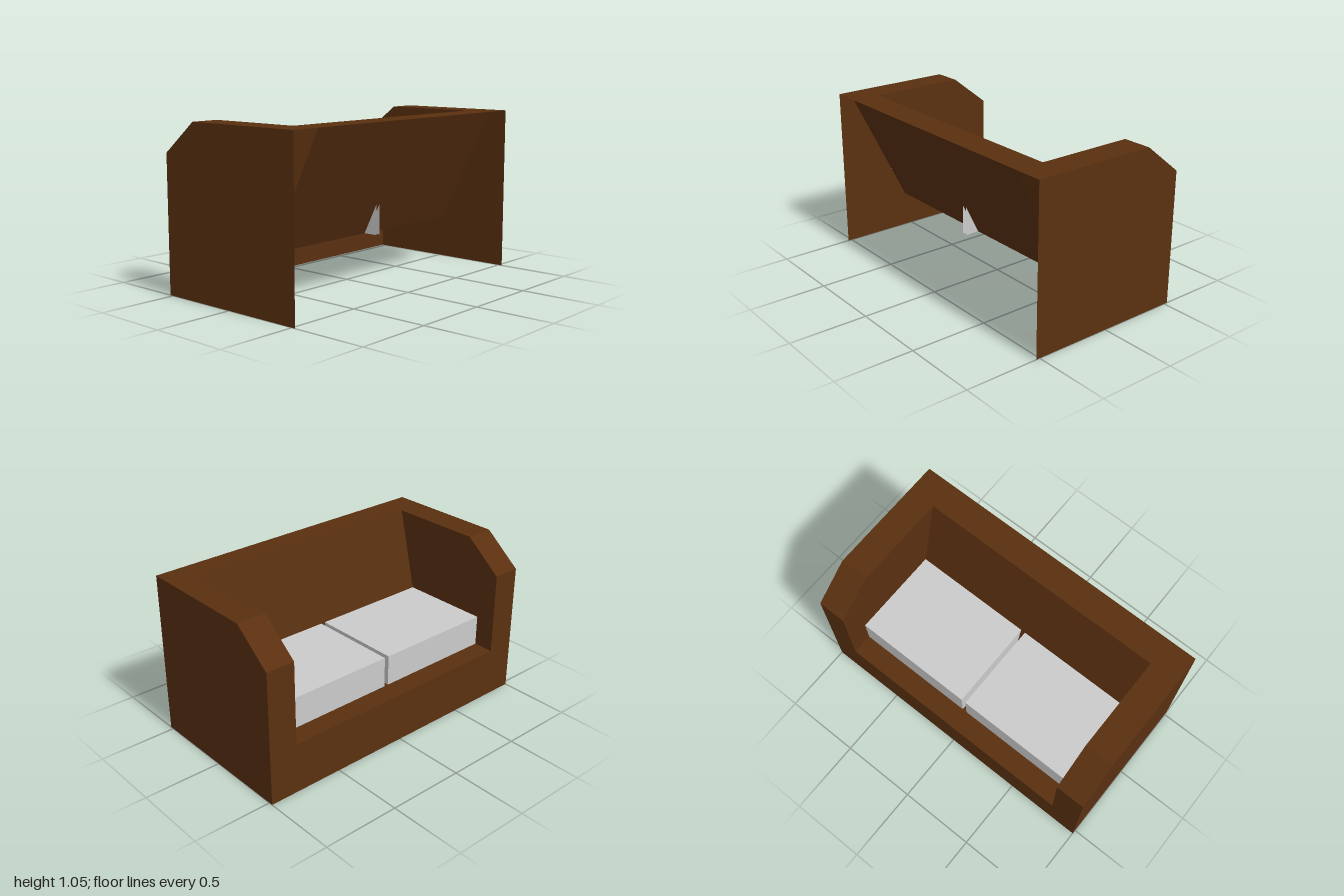
import * as THREE from 'three';

const wood = new THREE.MeshStandardMaterial({ color: 0x5a3010, side: THREE.DoubleSide, flatShading: true });
const fabric = new THREE.MeshStandardMaterial({ color: 0xcccccc, side: THREE.DoubleSide, flatShading: true });

// Mesh of flat convex panels, each a loop of [x, y, z] corners
function panels(name, material, loops) {
  const pos = [];
  for (const p of loops)
    for (let i = 1; i < p.length - 1; i++) pos.push(...p[0], ...p[i], ...p[i + 1]);
  const geo = new THREE.BufferGeometry();
  geo.setAttribute('position', new THREE.Float32BufferAttribute(pos, 3));
  geo.computeVertexNormals();
  const mesh = new THREE.Mesh(geo, material);
  mesh.name = name;
  return mesh;
}

// Sweep an [x, y] profile along z, one panel per segment
function sweep(profile, z0, z1) {
  return profile.slice(1).map((b, i) => {
    const a = profile[i];
    return [[...a, z1], [...b, z1], [...b, z0], [...a, z0]];
  });
}

// Upright panel in the plane z, facing +z or -z
function upright(outline, z, facing) {
  const loop = outline.map((p) => [...p, z]);
  return facing > 0 ? loop : loop.reverse();
}

export function createModel() {
  const sofa = new THREE.Group();
  sofa.name = 'sofa';

  const front = -0.525, rear = 0.525, top = 1.055, seatY = 0.325;
  const inner = 0.815, outer = 1, armY = 0.86, bevelX = -0.28;

  // Front apron, seat floor and tapering backrest, open underneath and behind
  sofa.add(panels('seatAndBackrest', wood, sweep([
    [front, 0], [front, seatY], [0.16, seatY], [0.34, top], [rear, top], [0.165, seatY],
  ], -inner, inner)));

  for (const s of [1, -1]) {
    const side = s > 0 ? 'Left' : 'Right';

    // Hollow arm with a sloped front corner
    const [z0, z1] = s > 0 ? [inner, outer] : [-outer, -inner];
    sofa.add(panels('arm' + side, wood, [
      ...sweep([[front, 0], [front, armY], [bevelX, top], [rear, top]], z0, z1),
      upright([[front, 0], [rear, 0], [rear, top], [bevelX, top], [front, armY]], s * outer, s),
      upright([[front, seatY], [0.16, seatY], [0.34, top], [bevelX, top], [front, armY]], s * inner, -s),
    ]));

    // Seat cushion, tucked into the arm and backrest
    const [c0, c1] = s > 0 ? [0.015, 0.83] : [-0.83, -0.015];
    sofa.add(panels('cushion' + side, fabric, [
      ...sweep([[-0.39, seatY], [-0.39, 0.525], [0.26, 0.525]], c0, c1),
      upright([[-0.39, seatY], [0.26, seatY], [0.26, 0.525], [-0.39, 0.525]], s * 0.015, -s),
    ]));
  }
  return sofa;
}
